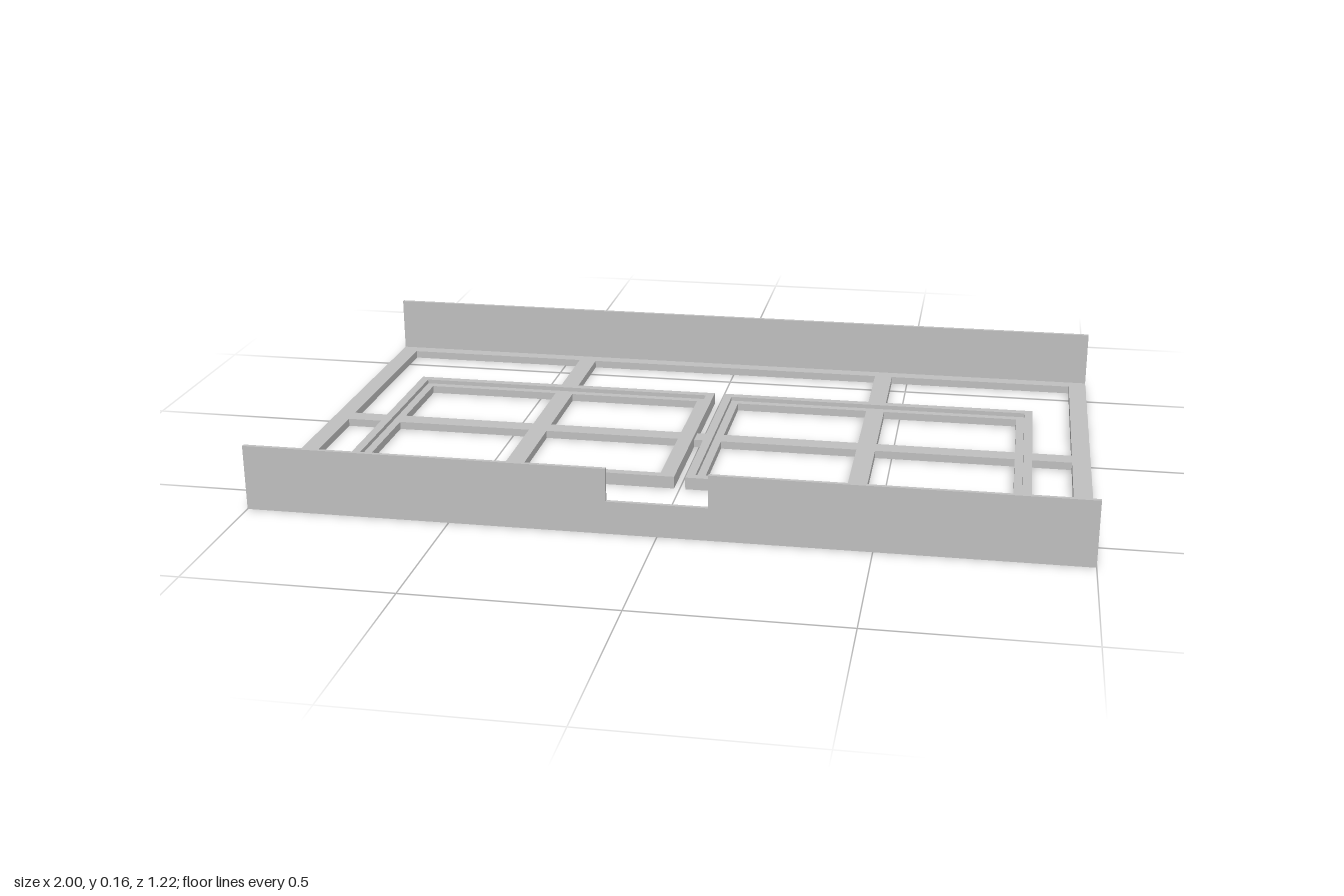
import * as THREE from 'three';

const W = 1, D = 0.611;            // half width and half depth
const BAR = 0.02;                  // height of the flat bars
const WALL = 0.01, WALL_H = 0.162; // upright panels

export function createModel() {
  const model = new THREE.Group();
  model.name = 'trayFrame';
  const grey = new THREE.MeshStandardMaterial({ color: 0xc0c0c0 });
  grey.name = 'lightGrey';

  const add = (name, geometry) => {
    const mesh = new THREE.Mesh(geometry, grey);
    mesh.name = name;
    model.add(mesh);
    return mesh;
  };

  const rect = (Type, x, z) => new Type([
    new THREE.Vector2(-x, -z), new THREE.Vector2(x, -z),
    new THREE.Vector2(x, z), new THREE.Vector2(-x, z),
  ]);

  // Flat rectangular ring lying on the xz plane
  const ring = (name, x, z, width, y, height, cx = 0) => {
    const shape = rect(THREE.Shape, x, z);
    shape.holes.push(rect(THREE.Path, x - width, z - width));
    const g = new THREE.ExtrudeGeometry(shape, { depth: height, bevelEnabled: false });
    g.rotateX(-Math.PI / 2);
    add(name, g).position.set(cx, y, 0);
  };

  const bar = (name, w, d, x, z) =>
    add(name, new THREE.BoxGeometry(w, BAR, d)).position.set(x, BAR / 2, z);

  // Outer base frame
  ring('baseFrame', W, D, 0.046, 0, BAR);

  // Cross bars
  bar('longCrossBar', 2 * W - 0.09, 0.049, 0, 0);
  for (const s of [-1, 1]) bar('shortCrossBar', 0.048, 2 * D - 0.09, s * 0.433, 0);

  // Two inner rings, each with a raised lip around a lower ledge
  for (const s of [-1, 1]) {
    ring('innerRing', 0.42, 0.313, 0.043, 0, BAR, s * 0.434);
    ring('innerRingLip', 0.42, 0.313, 0.022, BAR, 0.011, s * 0.434);
  }

  // Upright panels: plain at the back, notched at the front
  const panel = (name, notch) => {
    const s = new THREE.Shape();
    s.moveTo(-W, 0).lineTo(W, 0).lineTo(W, WALL_H);
    if (notch) s.lineTo(0.12, WALL_H).lineTo(0.12, 0.081).lineTo(-0.12, 0.081).lineTo(-0.12, WALL_H);
    s.lineTo(-W, WALL_H).closePath();
    return add(name, new THREE.ExtrudeGeometry(s, { depth: WALL, bevelEnabled: false }));
  };
  panel('frontPanel', true).position.z = D - WALL;
  panel('backPanel', false).position.z = -D;

  return model;
}
